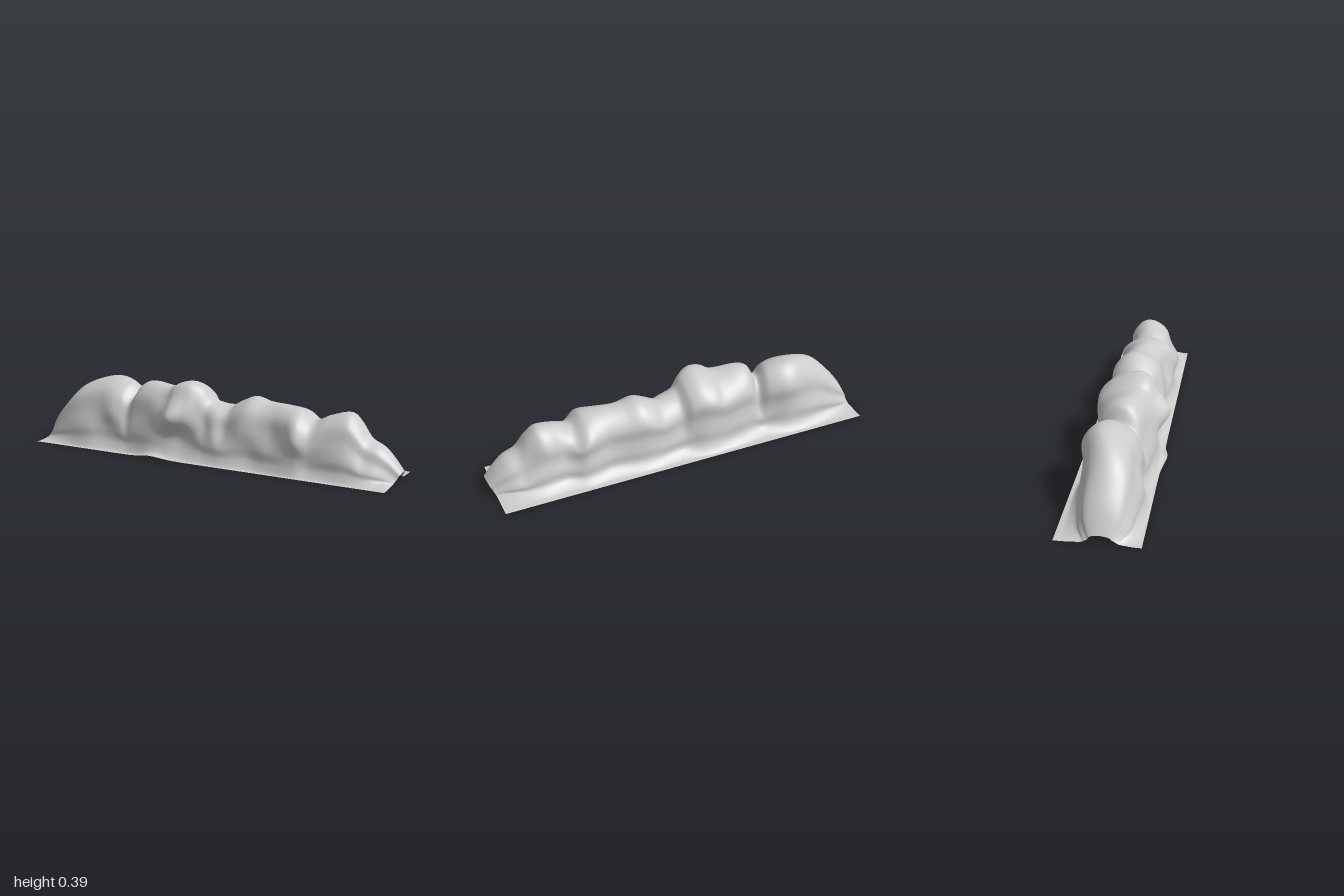
import * as THREE from 'three';

// Smooth curve through [x, value] keys
function spline(keys) {
  const n = keys.length - 1;
  const slope = (i) => {
    const a = keys[Math.max(i - 1, 0)], b = keys[Math.min(i + 1, n)];
    return (b[1] - a[1]) / (b[0] - a[0]);
  };
  return (x) => {
    let i = 0;
    while (i < n - 1 && x > keys[i + 1][0]) i++;
    const [x0, v0] = keys[i], [x1, v1] = keys[i + 1];
    const h = x1 - x0, t = THREE.MathUtils.clamp((x - x0) / h, 0, 1);
    const t2 = t * t, t3 = t2 * t;
    return (2 * t3 - 3 * t2 + 1) * v0 + (t3 - 2 * t2 + t) * h * slope(i)
      + (3 * t2 - 2 * t3) * v1 + (t3 - t2) * h * slope(i + 1);
  };
}

const bump = (x, centre, width) => Math.exp(-(((x - centre) / width) ** 2));

// Crest height along the ridge
const crest = spline([
  [-1, 0.047], [-0.95, 0.135], [-0.9, 0.2], [-0.8, 0.3], [-0.7, 0.348], [-0.6, 0.365],
  [-0.5, 0.335], [-0.45, 0.285], [-0.405, 0.35], [-0.35, 0.368], [-0.22, 0.357],
  [-0.17, 0.382], [-0.1, 0.393], [-0.04, 0.362], [0, 0.31], [0.1, 0.285], [0.15, 0.31],
  [0.22, 0.336], [0.3, 0.32], [0.42, 0.316], [0.5, 0.303], [0.56, 0.263], [0.63, 0.29],
  [0.73, 0.31], [0.78, 0.27], [0.83, 0.205], [0.9, 0.17], [0.95, 0.125], [1, 0.065],
]);
// Sideways position of the crest
const crestZ = spline([
  [-1, -0.01], [-0.8, 0], [-0.6, -0.05], [-0.45, -0.01], [-0.3, 0.02], [-0.1, 0.05],
  [0.05, 0], [0.2, -0.03], [0.5, 0.01], [0.73, -0.02], [0.85, 0], [1, 0.03],
]);
// Shoulder of the front face
const frontUpper = spline([
  [-1, 0.055], [-0.95, 0.09], [-0.88, 0.11], [-0.8, 0.118], [-0.65, 0.115], [-0.55, 0.125],
  [-0.45, 0.11], [-0.35, 0.125], [-0.25, 0.16], [-0.17, 0.207], [-0.1, 0.165],
  [-0.02, 0.11], [0.05, 0.12], [0.1, 0.105], [0.2, 0.125], [0.35, 0.11], [0.43, 0.135],
  [0.5, 0.167], [0.58, 0.13], [0.7, 0.11], [0.8, 0.1], [0.9, 0.09], [1, 0.06],
]);
// Foot of the front face
const frontLower = spline([
  [-1, 0.075], [-0.94, 0.115], [-0.85, 0.135], [-0.7, 0.148], [-0.58, 0.125], [-0.45, 0.135],
  [-0.3, 0.156], [-0.2, 0.145], [-0.12, 0.125], [-0.02, 0.13], [0.1, 0.147], [0.25, 0.13],
  [0.35, 0.145], [0.5, 0.152], [0.58, 0.135], [0.75, 0.14], [0.88, 0.125], [1, 0.075],
]);
// Shoulder of the back face
const backUpper = spline([
  [-1, -0.05], [-0.95, -0.08], [-0.88, -0.095], [-0.8, -0.1], [-0.7, -0.12], [-0.59, -0.152],
  [-0.5, -0.12], [-0.45, -0.085], [-0.4, -0.11], [-0.3, -0.13], [-0.15, -0.152],
  [-0.05, -0.13], [0, -0.1], [0.1, -0.125], [0.2, -0.14], [0.4, -0.11], [0.52, -0.138],
  [0.62, -0.095], [0.71, -0.11], [0.8, -0.08], [0.9, -0.07], [1, -0.04],
]);
// Foot of the back face
const backLower = spline([
  [-1, -0.07], [-0.94, -0.105], [-0.85, -0.125], [-0.6, -0.15], [-0.45, -0.115],
  [-0.3, -0.14], [-0.12, -0.155], [0, -0.125], [0.2, -0.145], [0.38, -0.125],
  [0.52, -0.145], [0.62, -0.12], [0.75, -0.13], [0.88, -0.11], [1, -0.065],
]);

// Cross-section running from the front skirt over the crest to the back skirt
function section(x, across) {
  const h = crest(x), top = crestZ(x);
  const fu = frontUpper(x), fl = frontLower(x), bu = backUpper(x), bl = backLower(x);
  const lift = bump(x, -0.27, 0.08);
  const skirt = Math.min(0.012, h * 0.12);
  // The big front overhang tapers upward more than its neighbours
  const taper = 0.22 * bump(x, -0.17, 0.1);
  const curve = new THREE.CatmullRomCurve3([
    [0.183 + 0.022 * lift, 0.002 + 0.018 * lift],
    [(0.183 + fl) / 2 + 0.008, skirt * 0.6 + 0.02 * lift],
    [fl + 0.006, h * 0.12 + skirt],
    [fl, h * 0.32],
    [fu, h * 0.58],
    [top + (fu - top) * (0.78 - taper), h * 0.83],
    [top + (fu - top) * (0.38 - taper * 0.3), h * 0.965],
    [top, h],
    [top + (bu - top) * 0.38, h * 0.965],
    [top + (bu - top) * 0.76, h * 0.86],
    [bu, h * 0.71],
    [(bu + bl) / 2 + 0.006, h * 0.5],
    [bl, h * 0.3],
    [bl - 0.004, h * 0.1 + skirt],
    [(bl - 0.207) / 2 - 0.006, skirt * 0.6],
    [-0.207, 0.002],
  ].map(([z, y]) => new THREE.Vector3(0, y, z)));
  return Array.from({ length: across + 1 }, (_, j) => {
    const p = curve.getPoint(j / across);
    p.y = Math.max(0, p.y);
    const rise = Math.min(1, p.y / h);
    // The skirt stops short of the rounded tip at the +x end
    const tip = THREE.MathUtils.smoothstep(x, 0.8, 1) * 0.035 * (1 - rise);
    // The deep gully crosses the ridge at a slant
    const slant = 0.25 * p.z * rise * bump(x, -0.45, 0.1);
    p.x = x - tip - slant;
    return p;
  });
}

// Loft the cross-sections into one open shell
function ridgeGeometry(along, across) {
  const positions = [], indices = [];
  for (let i = 0; i <= along; i++) {
    for (const p of section(-1 + (2 * i) / along, across)) positions.push(p.x, p.y, p.z);
  }
  const row = across + 1;
  for (let i = 0; i < along; i++) {
    for (let j = 0; j < across; j++) {
      const a = i * row + j, b = a + row;
      indices.push(a, b, a + 1, b, b + 1, a + 1);
    }
  }
  const geometry = new THREE.BufferGeometry();
  geometry.setAttribute('position', new THREE.Float32BufferAttribute(positions, 3));
  geometry.setIndex(indices);
  geometry.computeVertexNormals();
  return geometry;
}

export function createModel() {
  const group = new THREE.Group();
  group.name = 'rockRidge';
  const material = new THREE.MeshStandardMaterial({ color: 0xcccccc, side: THREE.DoubleSide });
  const ridge = new THREE.Mesh(ridgeGeometry(200, 90), material);
  ridge.name = 'ridgeShell';
  group.add(ridge);
  return group;
}
